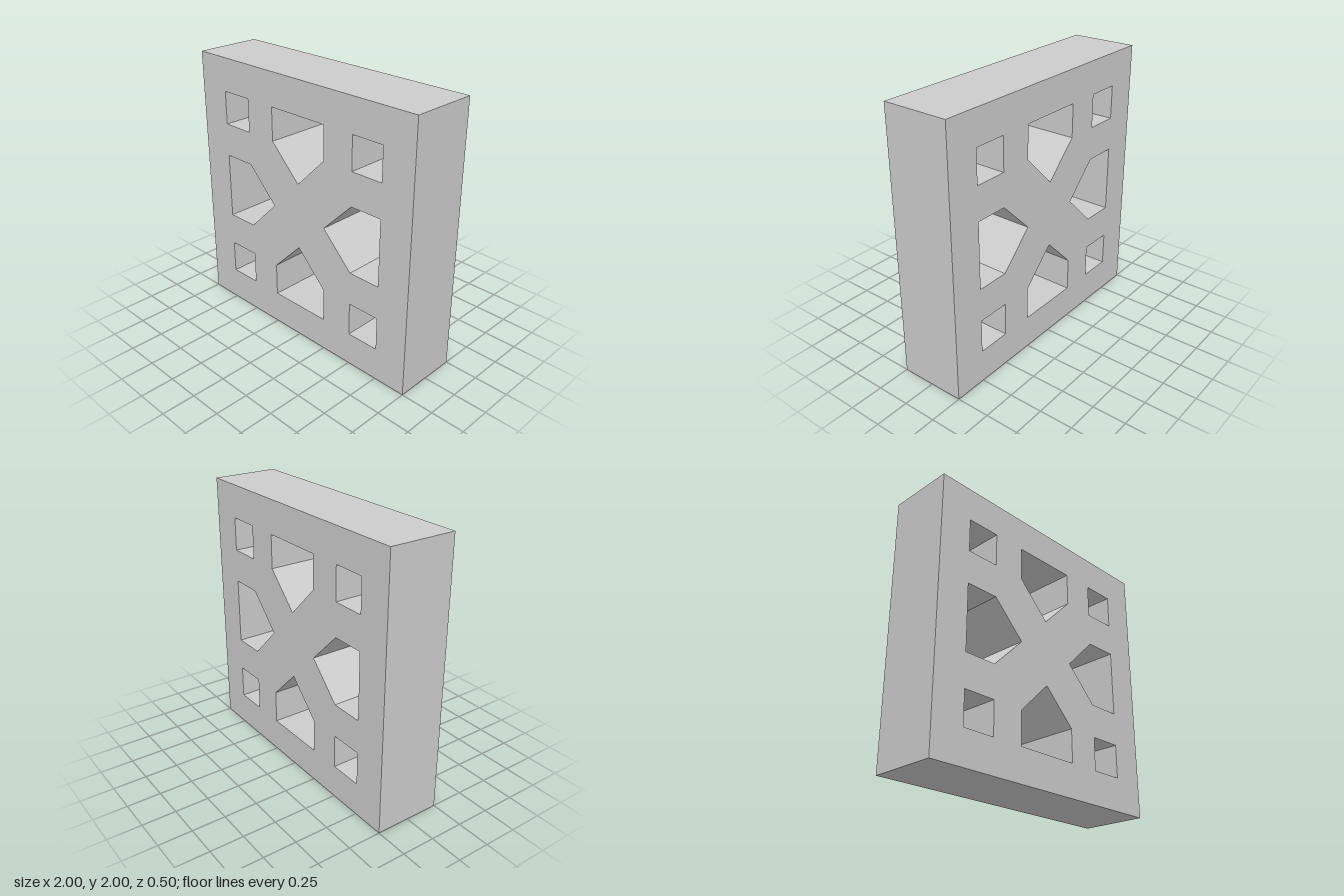
import * as THREE from 'three';

const DEPTH = 0.5;

// Closed outline rotated by a number of quarter turns about the panel centre
function outline(PathType, points, turns = 0) {
  const origin = new THREE.Vector2();
  return new PathType(points.map(([x, y]) =>
    new THREE.Vector2(x, y).rotateAround(origin, turns * Math.PI / 2))).closePath();
}

export function createModel() {
  const group = new THREE.Group();
  group.name = 'latticeBlock';

  // Square panel
  const panel = outline(THREE.Shape, [[-1, -1], [1, -1], [1, 1], [-1, 1]]);

  // One pointed opening and one corner opening, repeated on all four sides
  const pointedHole = [[0, 0.25], [-0.25, 0.5], [-0.25, 0.75], [0.25, 0.75], [0.25, 0.5]];
  const cornerHole = [[0.5, 0.5], [0.5, 0.75], [0.75, 0.75], [0.75, 0.5]];
  for (let i = 0; i < 4; i++) {
    panel.holes.push(outline(THREE.Path, pointedHole, i), outline(THREE.Path, cornerHole, i));
  }

  const geometry = new THREE.ExtrudeGeometry(panel, { depth: DEPTH, bevelEnabled: false });
  geometry.translate(0, 1, -DEPTH / 2);

  const mesh = new THREE.Mesh(geometry,
    new THREE.MeshStandardMaterial({ color: 0xcccccc, flatShading: true }));
  mesh.name = 'piercedPanel';
  group.add(mesh);
  return group;
}
